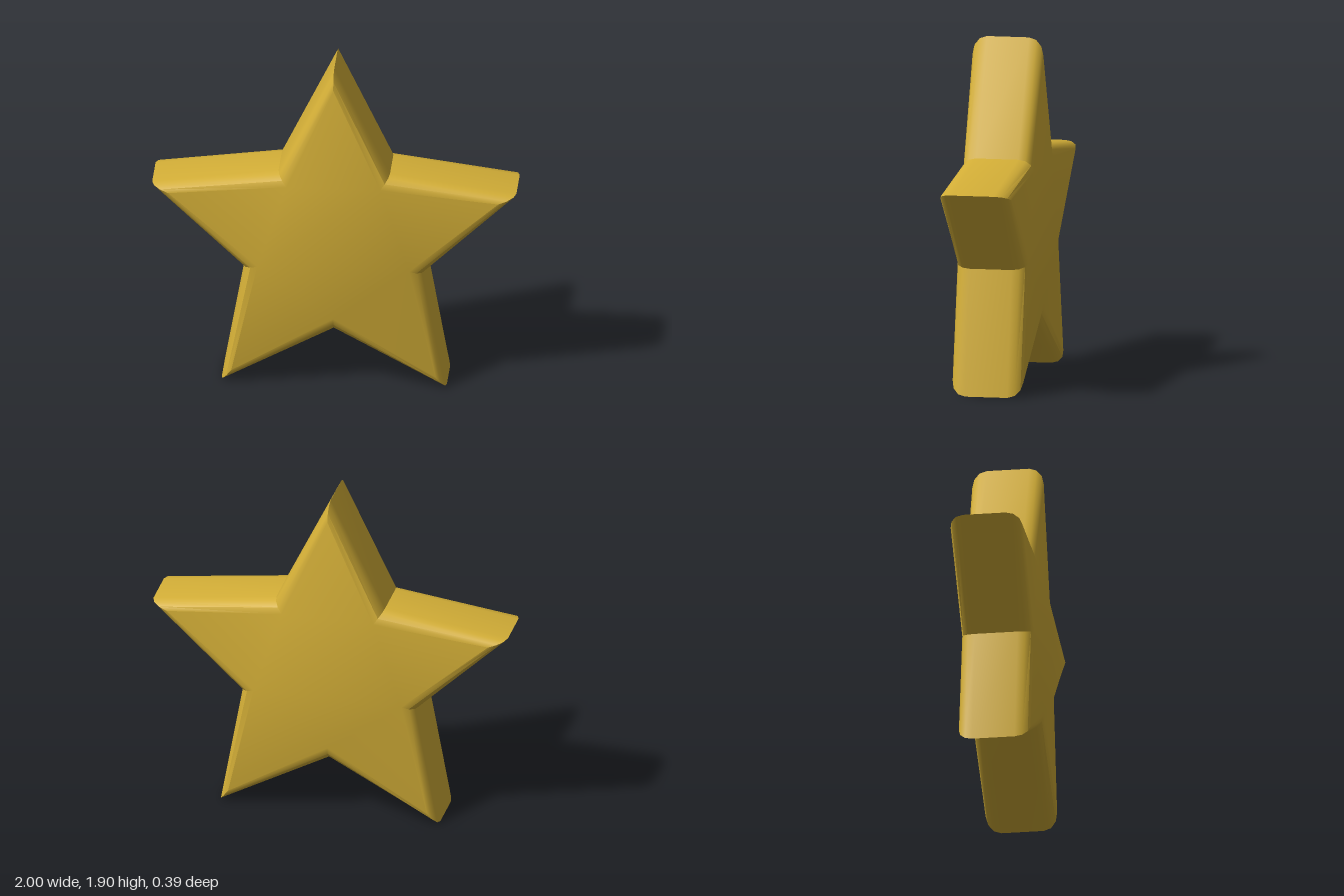
import * as THREE from 'three';
import { toCreasedNormals } from 'three/addons/utils/BufferGeometryUtils.js';

const POINTS = 5;
const TIP_RADIUS = 0.9525;   // before the bevel grows the outline
const NOTCH_RADIUS = 0.439;
const CENTRE_Y = 0.85;

function starShape() {
  const corners = [];
  for (let i = 0; i < POINTS * 2; i++) {
    const angle = Math.PI / 2 + (i * Math.PI) / POINTS;
    const r = i % 2 ? NOTCH_RADIUS : TIP_RADIUS;
    corners.push(new THREE.Vector2(r * Math.cos(angle), r * Math.sin(angle)));
  }
  return new THREE.Shape(corners);
}

export function createModel() {
  const gold = new THREE.MeshStandardMaterial({ color: 0xd4af37 });
  gold.name = 'gold';

  // Thick star with rounded rims; the arms and notches stay sharp
  const geometry = new THREE.ExtrudeGeometry(starShape(), {
    depth: 0.235,
    bevelEnabled: true,
    bevelThickness: 0.08,
    bevelSize: 0.07,
    bevelSegments: 3,
  });
  geometry.translate(0, CENTRE_Y, -0.1175);

  const star = new THREE.Mesh(toCreasedNormals(geometry, 0.65), gold);
  star.name = 'star';

  const model = new THREE.Group();
  model.name = 'starModel';
  model.add(star);
  return model;
}
